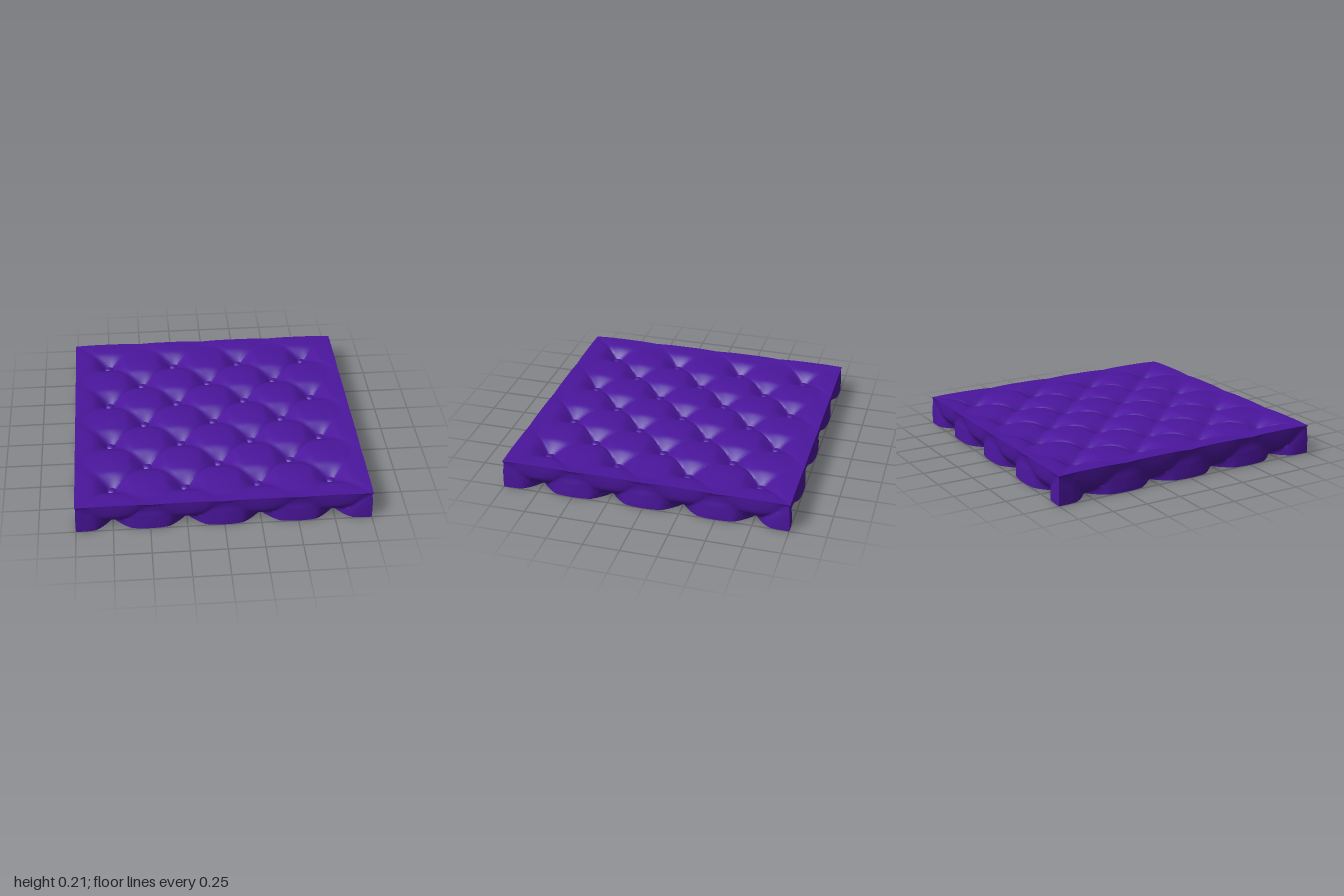
import * as THREE from 'three';
import { mergeVertices, toCreasedNormals } from 'three/addons/utils/BufferGeometryUtils.js';

const HEIGHT = 0.207;
const TOP_DEPTH = 0.1;   // how far the buttons pull the top down
const SIDE_DEPTH = 0.13; // how far the lower side edge is tucked in

// Tuft depth, 1 at a button and 0 in the middle of a diamond, fading at the rim
function tuft(x, z) {
  const s = Math.abs(Math.sin(2 * Math.PI * (x + z)));
  const t = Math.abs(Math.sin(2 * Math.PI * (x - z)));
  const puff = 0.72 * Math.pow(Math.min(1, Math.hypot(s, t)), 0.75) + 0.28 * Math.pow(s * t, 0.55);
  const rim = Math.max(Math.abs(x), Math.abs(z));
  return (1 - puff) * (1 - 0.93 * THREE.MathUtils.smoothstep(rim, 0.75, 1));
}

// Padded slab: a fine box with its top and sides drawn in by the tuft pattern
function cushionGeometry() {
  let geo = new THREE.BoxGeometry(2, HEIGHT, 2, 120, 12, 120);
  geo.translate(0, HEIGHT / 2, 0);
  geo.deleteAttribute('uv');
  geo.deleteAttribute('normal');
  geo = mergeVertices(geo, 1e-4);
  const pos = geo.attributes.position;
  for (let i = 0; i < pos.count; i++) {
    const x = pos.getX(i), y = pos.getY(i), z = pos.getZ(i);
    if (y > HEIGHT - 1e-4) {
      pos.setY(i, HEIGHT - TOP_DEPTH * tuft(x, z));
    } else {
      // The sides mirror the outer band of the top, folded down
      const q = 0.75 + 0.25 * (y / HEIGHT);
      pos.setX(i, x * (1 - SIDE_DEPTH * tuft(z, q)));
      pos.setZ(i, z * (1 - SIDE_DEPTH * tuft(x, q)));
    }
  }
  return toCreasedNormals(geo, 1.0);
}

export function createModel() {
  const model = new THREE.Group();
  model.name = 'tuftedCushion';
  const fabric = new THREE.MeshStandardMaterial({ color: 0x4b169d });

  const cushion = new THREE.Mesh(cushionGeometry(), fabric);
  cushion.name = 'cushion';
  model.add(cushion);

  // Buttons in staggered rows: four, three, four, ...
  const buttons = new THREE.Group();
  buttons.name = 'buttons';
  const buttonGeo = new THREE.SphereGeometry(0.036, 20, 12);
  buttonGeo.scale(1, 0.65, 1);
  for (let row = 0; row < 7; row++) {
    const count = row % 2 ? 3 : 4;
    for (let k = 0; k < count; k++) {
      const button = new THREE.Mesh(buttonGeo, fabric);
      button.name = 'button';
      button.position.set((k - (count - 1) / 2) * 0.5, HEIGHT - TOP_DEPTH + 0.018, (row - 3) * 0.25);
      buttons.add(button);
    }
  }
  model.add(buttons);
  return model;
}
